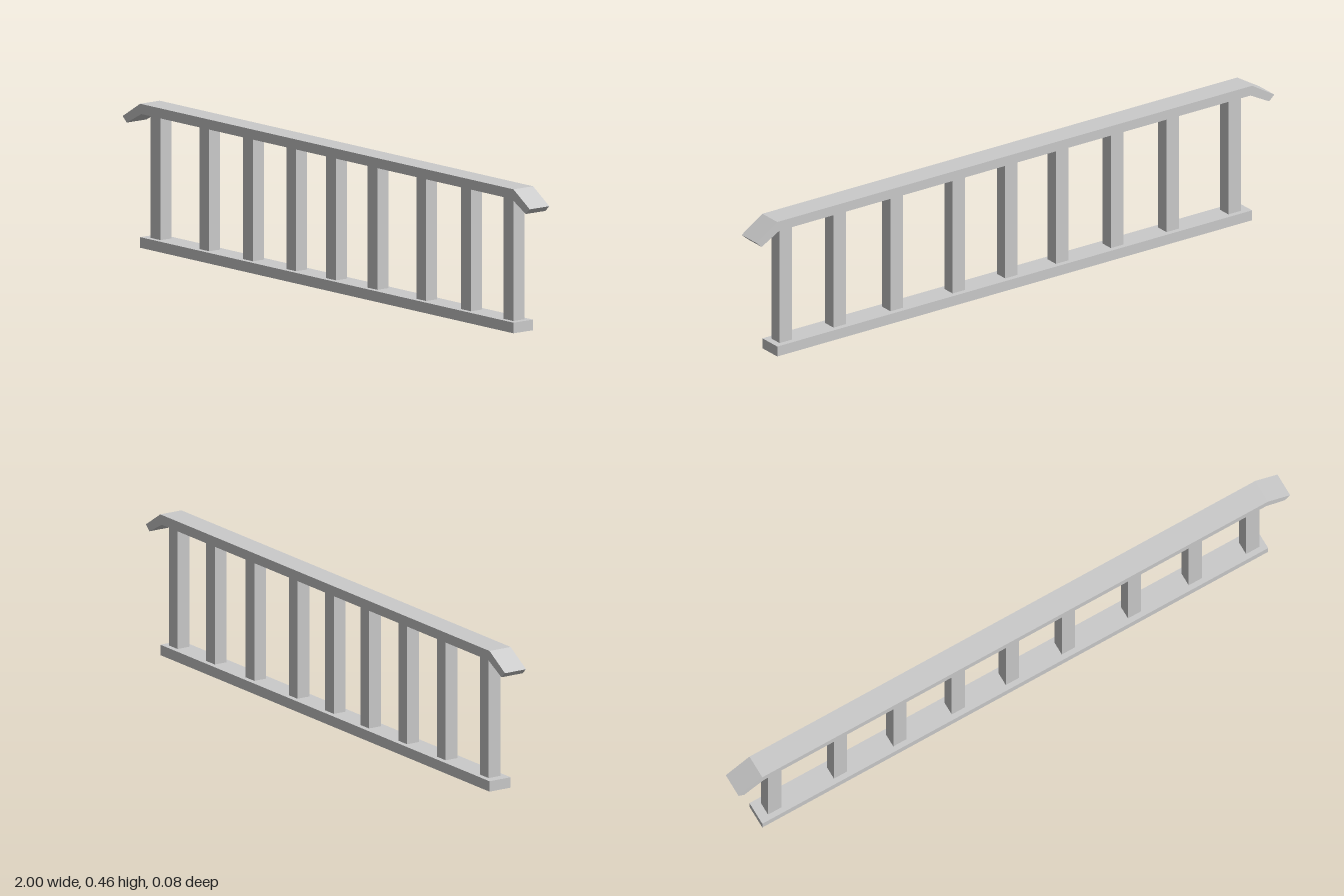
import * as THREE from 'three';

export function createModel() {
  const model = new THREE.Group();
  model.name = 'railing';
  const material = new THREE.MeshStandardMaterial({ color: 0xcccccc, flatShading: true });
  const railDepth = 0.08;
  const baseTop = 0.034;
  const railUnderside = 0.428;

  function add(name, geometry, x = 0, y = 0, z = 0) {
    const mesh = new THREE.Mesh(geometry, material);
    mesh.name = name;
    mesh.position.set(x, y, z);
    model.add(mesh);
  }

  // Bottom rail
  add('bottomRail', new THREE.BoxGeometry(1.834, baseTop, railDepth), 0.003, baseTop / 2);

  // Handrail: constant thickness, both ends bent downwards
  const profile = [
    [-0.98, 0.39], [-0.908, railUnderside], [0.912, railUnderside], [0.98, 0.39],
    [1, 0.408], [0.92, 0.46], [-0.914, 0.46], [-1, 0.408],
  ].map(([x, y]) => new THREE.Vector2(x, y));
  const handrail = new THREE.ExtrudeGeometry(new THREE.Shape(profile), {
    depth: railDepth, bevelEnabled: false,
  });
  add('handrail', handrail, 0, 0, -railDepth / 2);

  // Square balusters, slightly unevenly spaced
  const height = railUnderside - baseTop;
  const post = new THREE.BoxGeometry(0.048, height, 0.045);
  const positions = [-0.859, -0.62, -0.405, -0.193, 0.003, 0.206, 0.446, 0.666, 0.874];
  positions.forEach((x, i) => add(`baluster${i + 1}`, post, x, baseTop + height / 2));

  return model;
}
